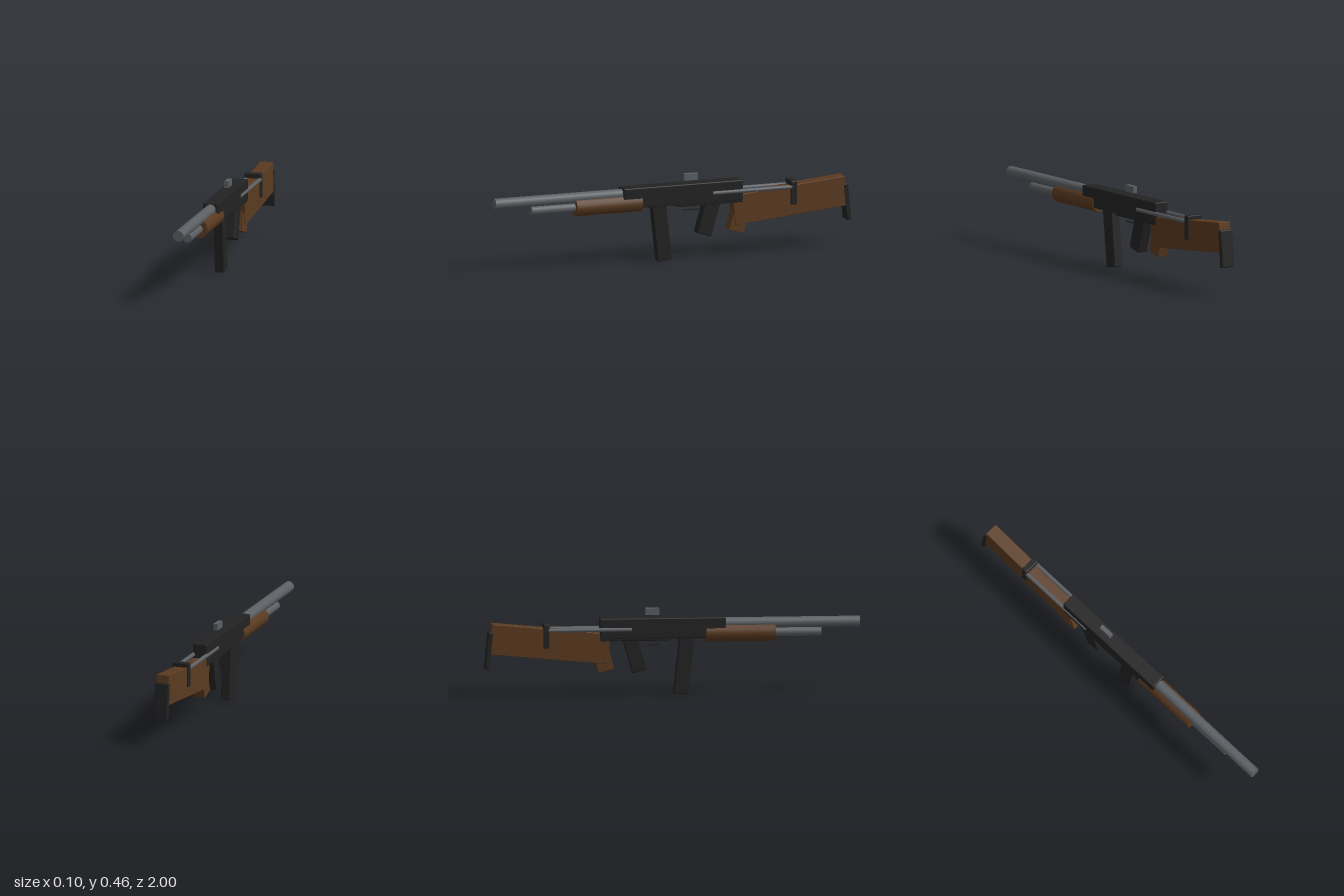
import * as THREE from 'three';
import { RoundedBoxGeometry } from 'three/addons/geometries/RoundedBoxGeometry.js';

export function createModel() {
  const model = new THREE.Group();
  const material = (name, color, flatShading = false) => {
    const m = new THREE.MeshStandardMaterial({ color, flatShading });
    m.name = name;
    return m;
  };
  const black = material('black', 0x222222);
  const wood = material('wood', 0x5a3a20);
  const steel = material('steel', 0x5b5f63);

  const add = (name, geometry, mat, x, y, z, tilt = 0) => {
    const mesh = new THREE.Mesh(geometry, mat);
    mesh.name = name;
    mesh.position.set(x, y, z);
    mesh.rotation.x = tilt;
    model.add(mesh);
    return mesh;
  };
  // Box with softened edges: size (w, h, d), centre height y and depth z
  const block = (name, mat, w, h, d, y, z, tilt = 0, bevel = 0.006) =>
    add(name, new RoundedBoxGeometry(w, h, d, 2, bevel), mat, 0, y, z, tilt);
  // Round bar lying along z from z0 to z1
  const bar = (name, mat, r, x, y, z0, z1, sides = 20) =>
    add(name, new THREE.CylinderGeometry(r, r, z1 - z0, sides).rotateX(Math.PI / 2),
      mat, x, y, (z0 + z1) / 2);

  // Body
  block('receiver', black, 0.082, 0.11, 0.67, 0.36, -0.05);
  block('lowerReceiver', black, 0.078, 0.07, 0.37, 0.328, -0.2);

  // Barrel, tube below it and wooden fore-end
  bar('barrel', steel, 0.029, 0, 0.38, 0.2, 1);
  bar('lowerTube', steel, 0.024, 0, 0.328, 0.2, 0.795);
  bar('foreEnd', wood, 0.05, 0, 0.33, 0.18, 0.55, 16);

  // Parts hanging below the body
  block('magazine', black, 0.052, 0.325, 0.08, 0.166, 0.065, 0.11);
  block('grip', black, 0.062, 0.19, 0.083, 0.221, -0.197, -0.28);
  add('trigger', new THREE.BoxGeometry(0.01, 0.006, 0.092), black, 0, 0.267, -0.113);

  // Sight above the body
  add('sight', new THREE.BoxGeometry(0.023, 0.036, 0.075), steel, 0, 0.446, -0.104);

  // Wooden stock
  block('stock', wood, 0.073, 0.162, 0.633, 0.281, -0.652, 0.095, 0.003);
  block('stockGrip', wood, 0.062, 0.14, 0.085, 0.201, -0.37, -0.28, 0.003);
  block('buttPad', black, 0.077, 0.2, 0.026, 0.25, -0.975, 0.1);

  // Side rods and the clamp that holds them
  for (const side of [-1, 1]) {
    bar(side > 0 ? 'leftRod' : 'rightRod', steel, 0.011, side * 0.037, 0.355, -0.66, -0.215, 12);
  }
  block('clamp', black, 0.092, 0.13, 0.034, 0.324, -0.67);

  return model;
}
